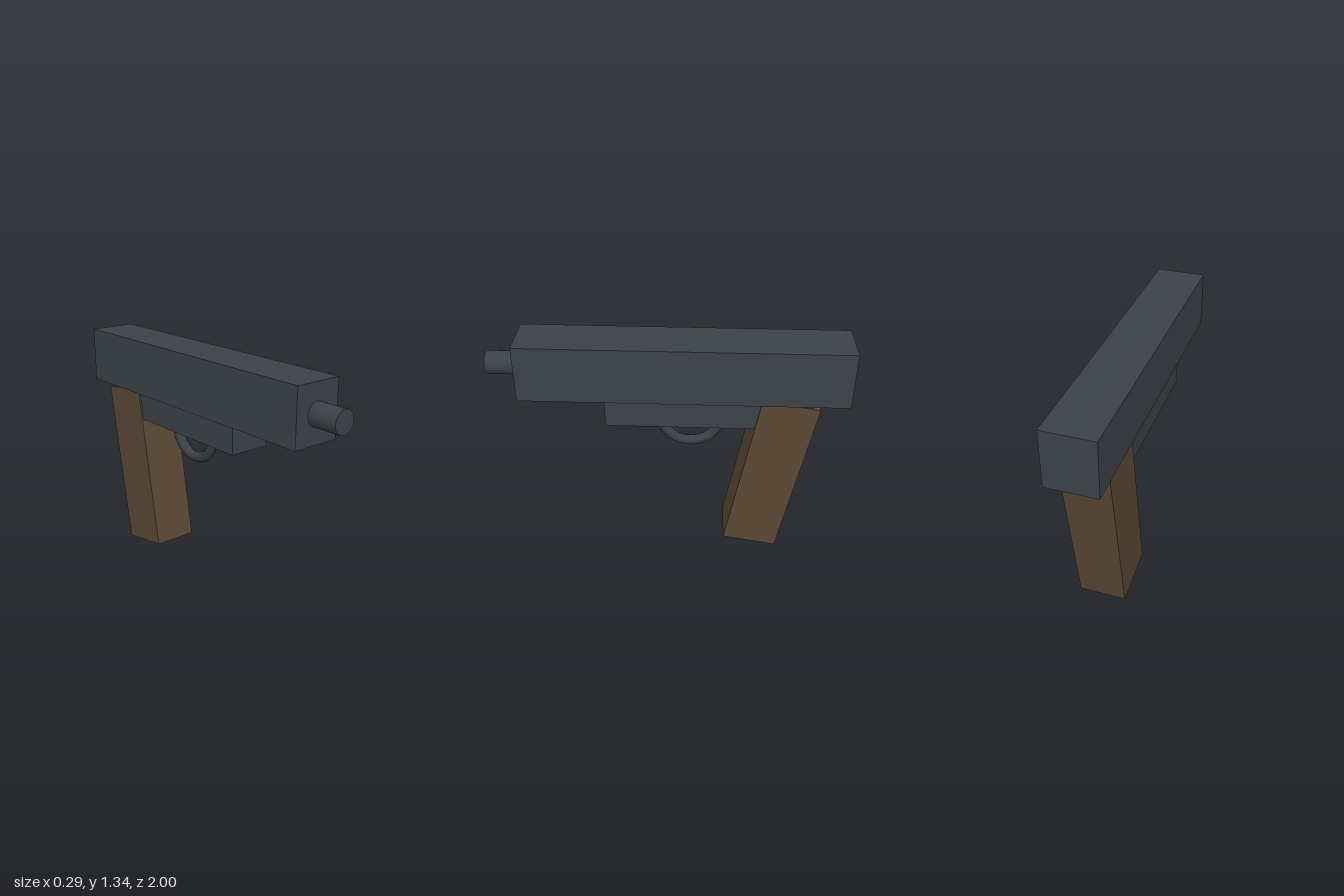
import * as THREE from 'three';

const metal = new THREE.MeshStandardMaterial({ color: 0x3c4249 });
metal.name = 'dark metal';
const wood = new THREE.MeshStandardMaterial({ color: 0x5a4835 });
wood.name = 'brown grip';

function part(name, geometry, material, y, z) {
  const mesh = new THREE.Mesh(geometry, material);
  mesh.name = name;
  mesh.position.set(0, y, z);
  return mesh;
}

export function createModel() {
  const model = new THREE.Group();
  model.name = 'pistol';

  // Long upper block and the narrower frame beneath it
  const slide = part('slide', new THREE.BoxGeometry(0.286, 0.325, 1.825), metal, 1.182, -0.0875);
  const frame = part('frame', new THREE.BoxGeometry(0.248, 0.163, 1.15), metal, 0.939, -0.23);

  // Round muzzle, seated into the slide
  const barrel = part('barrel', new THREE.CylinderGeometry(0.066, 0.066, 0.3, 20), metal, 1.18, 0.85);
  barrel.rotation.x = Math.PI / 2;

  // Half ring hanging below the frame, six-sided in section
  const ring = new THREE.TorusGeometry(0.172, 0.032, 6, 20, Math.PI);
  ring.rotateZ(Math.PI).rotateY(Math.PI / 2);
  const guard = part('triggerGuard', ring, metal, 0.861, -0.133);

  // Slanted handle, its top leaning backwards
  const grip = part('grip', new THREE.BoxGeometry(0.268, 1.01, 0.323), wood, 0.5255, -0.596);
  grip.rotation.x = -THREE.MathUtils.degToRad(10);

  model.add(slide, frame, barrel, guard, grip);
  return model;
}
